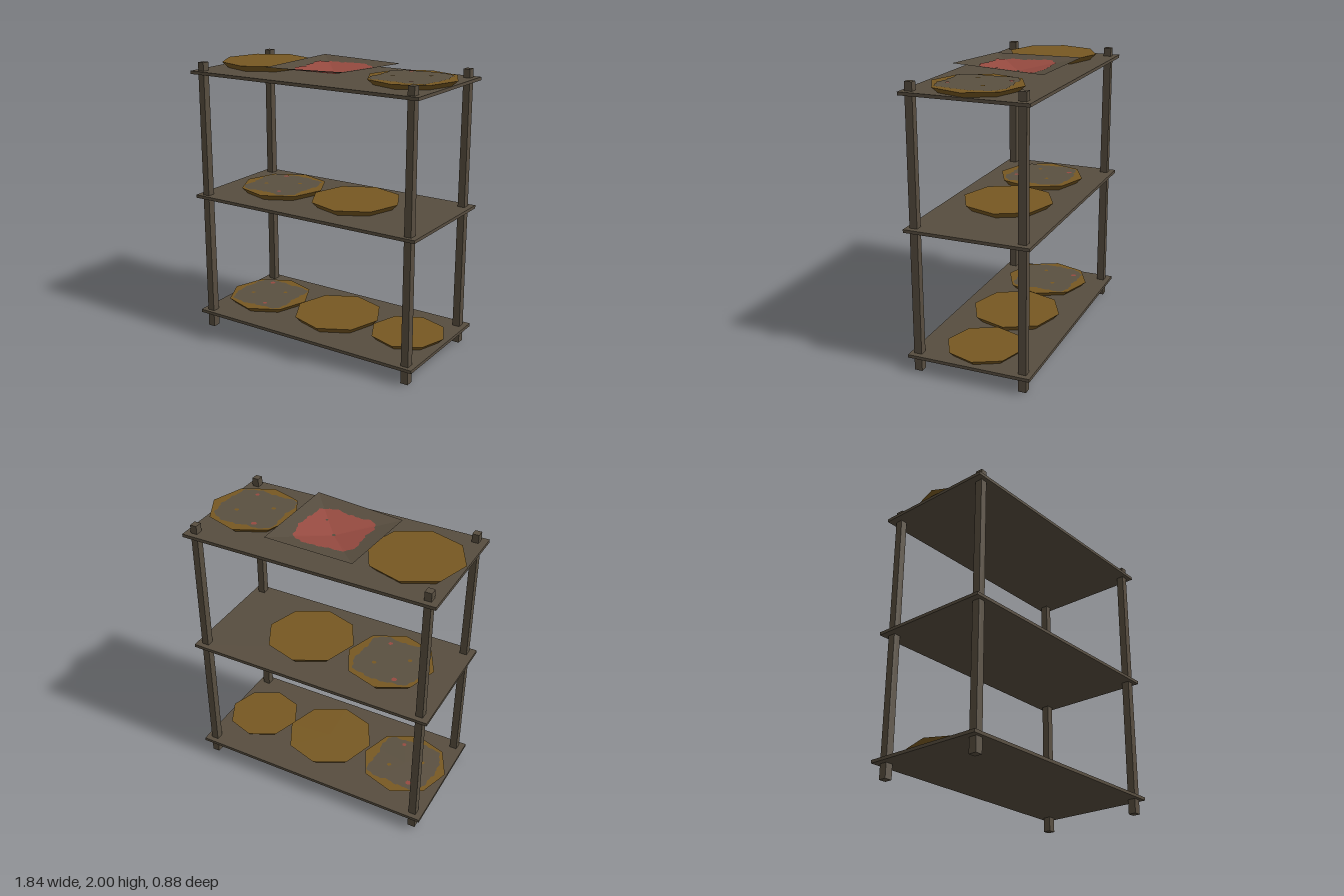
import * as THREE from 'three';

const mat = (name, color, side = THREE.FrontSide) =>
  Object.assign(new THREE.MeshStandardMaterial({ color, side }), { name });

export function createModel() {
  const wood = mat('dark wood', 0x574d3f);
  const dish = mat('ochre dish', 0x775822);
  const filling = mat('grey filling', 0x5a5040, THREE.DoubleSide);
  const sheetMat = mat('brown sheet', 0x564c3e, THREE.DoubleSide);
  const red = mat('red stain', 0x964a40, THREE.DoubleSide);
  const model = new THREE.Group();
  model.name = 'shelfWithDishes';

  const add = (parent, name, geometry, material, x = 0, y = 0, z = 0) => {
    const mesh = new THREE.Mesh(geometry, material);
    mesh.name = name;
    mesh.position.set(x, y, z);
    parent.add(mesh);
    return mesh;
  };

  // Shelves
  for (const y of [0.115, 1.01, 1.905])
    add(model, 'shelf', new THREE.BoxGeometry(1.785, 0.022, 0.875), wood, -0.0125, y, -0.0025);

  // Posts, slightly narrower at the top
  for (const x of [-0.835, 0.815])
    for (const z of [0.38, -0.375]) {
      const g = new THREE.BoxGeometry(0.054, 1.975, 0.056);
      const p = g.attributes.position;
      for (let i = 0; i < p.count; i++)
        if (p.getY(i) > 0) p.setXYZ(i, p.getX(i) * 0.87, p.getY(i), p.getZ(i) * 0.95);
      g.computeVertexNormals();
      add(model, 'post', g, wood, x, 0.9875, z);
    }

  // Ragged rounded-square patch as a fan; height(x, z) drapes it over a surface
  const START = Math.atan2(0.345, 0.3), STEPS = 96;
  const patch = (size, seed, height) => {
    const pts = [0, height(0, 0), 0], index = [];
    for (let i = 0; i < STEPS; i++) {
      const t = START + (i / STEPS) * Math.PI * 2;
      const c = Math.cos(t), s = Math.sin(t);
      const ragged = 0.035 * Math.sin(t * 5 + seed) + 0.022 * Math.sin(t * 13 + seed * 2)
        + 0.018 * Math.sin(t * 27 + seed * 3);
      const r = size * (1 + ragged) / Math.pow(Math.abs(c) ** 5 + Math.abs(s) ** 5, 0.2);
      pts.push(r * c, height(r * c, r * s), r * s);
      index.push(0, 1 + (i + 1) % STEPS, 1 + i);
    }
    const indexed = new THREE.BufferGeometry();
    indexed.setAttribute('position', new THREE.Float32BufferAttribute(pts, 3));
    indexed.setIndex(index);
    const g = indexed.toNonIndexed();
    g.computeVertexNormals();
    return g;
  };
  const spot = (parent, material, x, y, z, r = 0.016) =>
    add(parent, 'spot', new THREE.CircleGeometry(r, 7).rotateX(-Math.PI / 2), material, x, y, z);

  // Eight-sided dishes: x, base y, z, radius, thickness, turn, filled
  const dishes = [
    [-0.595, 1.916, -0.028, 0.322, 0.042, 0.09, false],
    [0.612, 1.916, 0.015, 0.309, 0.037, 0.08, true],
    [-0.445, 1.021, -0.005, 0.311, 0.042, 0.08, true],
    [0.178, 1.021, 0, 0.32, 0.043, 0.09, false],
    [-0.595, 0.126, -0.005, 0.311, 0.04, 0.08, true],
    [0.03, 0.126, 0, 0.322, 0.046, 0.09, false],
    [0.608, 0.126, -0.01, 0.267, 0.036, 0.08, false],
  ];
  dishes.forEach(([x, y, z, r, h, turn, filled], n) => {
    const group = new THREE.Group();
    group.name = 'dish';
    group.position.set(x, y, z);
    model.add(group);
    const g = new THREE.CylinderGeometry(r, r * 0.86, h, 8).toNonIndexed();
    g.computeVertexNormals();
    add(group, 'dishBody', g, dish, 0, h / 2, 0).rotation.y = turn;
    if (!filled) return;
    add(group, 'filling', patch(0.228, n + 1, () => h + 0.003), filling, -0.005, 0, 0);
    spot(group, red, -0.11, h + 0.006, -0.18, 0.02);
    spot(group, red, 0.08, h + 0.006, 0.17);
    spot(group, dish, 0.09, h + 0.006, -0.075);
    spot(group, dish, -0.12, h + 0.006, 0.055);
  });

  // Sheet with raised corners and a sunken middle
  const low = 1.918;
  const corners = [[0.3, 2.0, 0.345], [-0.345, 1.972, 0.31], [-0.31, 1.985, -0.345], [0.335, 1.975, -0.31]];
  const tris = corners.flatMap((a, i) => [0, low, 0, ...corners[(i + 1) % 4], ...a]);
  const sheet = new THREE.BufferGeometry();
  sheet.setAttribute('position', new THREE.Float32BufferAttribute(tris, 3));
  sheet.computeVertexNormals();
  add(model, 'sheet', sheet, sheetMat);

  // Height of the folded sheet at a point
  const sheetY = (x, z) => {
    for (let i = 0; i < 4; i++) {
      const [ax, ay, az] = corners[i], [bx, by, bz] = corners[(i + 1) % 4];
      const d = ax * bz - az * bx;
      const s = (x * bz - z * bx) / d, t = (ax * z - az * x) / d;
      if (s >= -1e-6 && t >= -1e-6) return low + s * (ay - low) + t * (by - low);
    }
    return low;
  };

  // Red stain on both faces of the sheet
  for (const [name, lift] of [['stainTop', 0.003], ['stainUnderside', -0.002]])
    add(model, name, patch(0.222, 2.2, (x, z) => sheetY(x, z) + lift), red);
  spot(model, sheetMat, 0, low + 0.006, 0, 0.014);
  spot(model, sheetMat, 0.11, sheetY(0.11, 0.11) + 0.006, 0.11, 0.01);

  return model;
}
